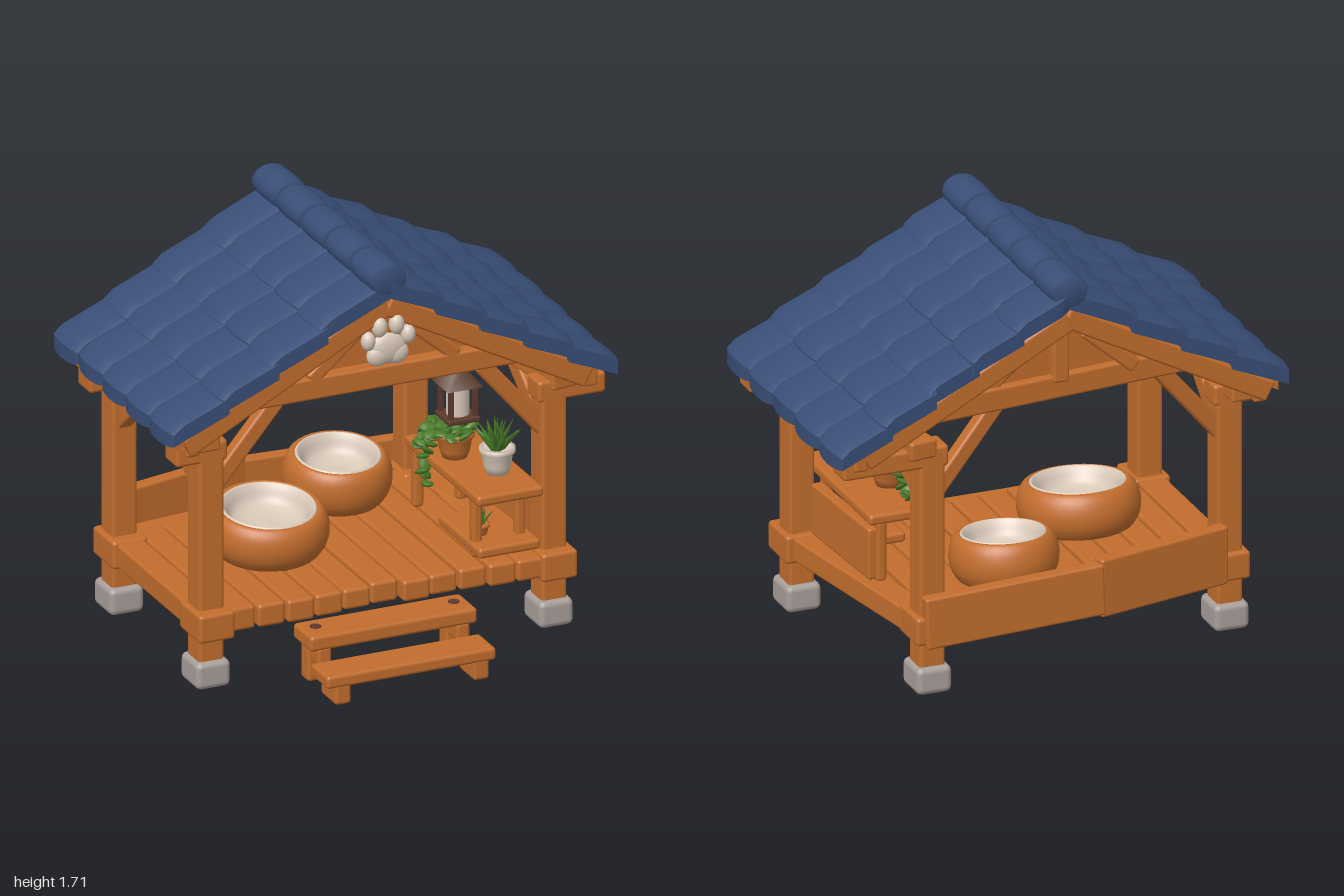
import * as THREE from 'three';
import { RoundedBoxGeometry } from 'three/addons/geometries/RoundedBoxGeometry.js';

const mat = (name, color, side = THREE.FrontSide) => {
  const m = new THREE.MeshStandardMaterial({ color, side });
  m.name = name;
  return m;
};

export function createModel() {
  const model = new THREE.Group();
  const wood = mat('wood', 0xc26d2d), blue = mat('roof blue', 0x394e77), stone = mat('stone', 0xa89e99);
  const cream = mat('cream', 0xd8c8b8), green = mat('leaf green', 0x4a7a28, THREE.DoubleSide);
  const dark = mat('dark brown', 0x5c3b2d);
  let seed = 7;
  const rnd = () => (seed = (seed * 16807) % 2147483647) / 2147483647;
  const V = (x, y, z) => new THREE.Vector3(x, y, z);
  const add = (name, geo, m, x = 0, y = 0, z = 0, parent = model) => {
    const mesh = new THREE.Mesh(geo, m);
    mesh.name = name;
    mesh.position.set(x, y, z);
    parent.add(mesh);
    return mesh;
  };
  // Soft-edged box given by its limits
  const box = (name, m, x0, x1, y0, y1, z0, z1, r = 0.015) => add(name,
    new RoundedBoxGeometry(x1 - x0, y1 - y0, z1 - z0, 2, Math.min(r, (y1 - y0) / 3)), m,
    (x0 + x1) / 2, (y0 + y1) / 2, (z0 + z1) / 2);
  // Soft-edged beam from a to b
  const beam = (name, a, b, w, h, m = wood) => {
    const mesh = add(name, new RoundedBoxGeometry(w, h, a.distanceTo(b), 2, 0.012), m);
    mesh.position.copy(a).lerp(b, 0.5);
    mesh.lookAt(b);
    return mesh;
  };

  // Posts on stones; the plan narrows and leans toward the back
  const posts = [[-0.785, 0.33], [0.715, 0.33], [0.555, -0.64], [-0.785, -0.5]];
  for (const [x, z] of posts) {
    box('footStone', stone, x - 0.075, x + 0.075, 0, 0.115, z - 0.085, z + 0.085, 0.025);
    box('post', wood, x - 0.055, x + 0.055, 0.1, 1.06, z - 0.06, z + 0.06);
    box('cornerBlock', wood, x - 0.078, x + 0.078, 0.215, 0.335, z - 0.085, z + 0.115);
    const s = Math.sign(x);
    const ends = [x - s * 0.07, s * 0.94].sort((a, b) => a - b);
    box('postHead', wood, ends[0], ends[1], 0.97, 1.06, z - 0.06, z + 0.06);
  }
  // Floor frame and planks
  beam('leftSill', V(-0.785, 0.275, 0.4), V(-0.785, 0.275, -0.56), 0.12, 0.1);
  beam('rightSill', V(0.725, 0.275, 0.4), V(0.55, 0.275, -0.7), 0.12, 0.1);
  beam('backSill', V(-0.785, 0.27, -0.52), V(0.555, 0.27, -0.655), 0.1, 0.09);
  const backZ = x => -0.58 - 0.1 * x;
  const count = 11, pitch = 1.38 / count;
  for (let i = 0; i < count; i++) {
    const x = -0.72 + (i + 0.5) * pitch;
    const back = x > 0.54 ? -0.35 : backZ(x);
    box('floorPlank', wood, x - pitch / 2 + 0.004, x + pitch / 2 - 0.004, 0.225 + 0.01 * rnd(), 0.318 + 0.008 * rnd(),
      back, 0.39 + 0.04 * rnd());
  }
  // Low boards at the back and the right side
  beam('backBoard', V(-0.75, 0.345, -0.585), V(-0.15, 0.345, -0.715), 0.06, 0.25);
  beam('backBoard', V(-0.17, 0.342, -0.715), V(0.6, 0.315, -0.72), 0.06, 0.22);
  beam('sideBoard', V(0.66, 0.44, 0.26), V(0.63, 0.44, -0.27), 0.05, 0.22);

  // Steps
  box('upperStep', wood, -0.45, 0.28, 0.17, 0.235, 0.43, 0.605);
  box('lowerStep', wood, -0.46, 0.28, 0.08, 0.135, 0.62, 0.785);
  for (const x of [-0.385, 0.22]) {
    box('upperStepLeg', wood, x - 0.035, x + 0.035, 0, 0.18, 0.435, 0.51);
    box('stepBracket', wood, x - 0.03, x + 0.03, 0.1, 0.18, 0.5, 0.6);
    box('lowerStepLeg', wood, x - 0.035, x + 0.035, 0, 0.09, 0.63, 0.775);
    add('stepPeg', new THREE.CylinderGeometry(0.024, 0.024, 0.008, 12), dark, x, 0.234, 0.505);
  }

  // Braces and top beams
  const up = (x, z, dx, dz) => beam('brace', V(x, 0.84, z), V(x + dx, 1.17, z + dz), 0.06, 0.07);
  const side = (x, z, dx, dz) => beam('sideBrace', V(x, 0.83, z), V(x + dx, 1.03, z + dz), 0.06, 0.085);
  up(-0.76, 0.33, 0.28, 0); up(0.69, 0.33, -0.28, 0);
  up(-0.76, -0.5, 0.28, -0.03); up(0.53, -0.64, -0.28, 0.03);
  side(-0.785, 0.29, 0, -0.29); side(0.715, 0.29, 0, -0.29);
  side(-0.785, -0.47, 0, 0.24); side(0.56, -0.61, 0.04, 0.24);
  beam('frontTieBeam', V(-0.66, 1.205, 0.34), V(0.62, 1.205, 0.34), 0.09, 0.095);
  beam('backTieBeam', V(-0.68, 1.2, -0.52), V(0.62, 1.2, -0.65), 0.09, 0.1);
  beam('leftPlate', V(-0.81, 1.06, 0.4), V(-0.81, 1.06, -0.66), 0.12, 0.08);
  beam('rightPlate', V(0.76, 1.06, 0.4), V(0.6, 1.06, -0.72), 0.12, 0.08);
  for (const s of [-1, 1])
    beam('eaveBeam', V(s * 0.87, 1.045, 0.4), V(s * 0.87, 1.045, s < 0 ? -0.67 : -0.72), 0.06, 0.07);

  // Roof: sheet pieces follow the slope; lift, bulge and scallop shape the tiles
  const RX = -0.025;
  const roofY = x => 1.62 - 0.53 * Math.abs(x - RX);
  const zBack = x => -0.7 - (x > 0 ? 0.02 + 0.06 * x : 0);
  const slab = (name, m, s, d0, d1, v0, v1, low, high, zf, inset, lift, bulge, scallop) => {
    const g = new THREE.BoxGeometry(1, 1, 1, 6, 1, 10), p = g.attributes.position;
    for (let i = 0; i < p.count; i++) {
      const u = p.getX(i) + 0.5, t = p.getY(i) + 0.5;
      const w = s > 0 ? p.getZ(i) + 0.5 : 0.5 - p.getZ(i);
      const arc = Math.pow(Math.sin(Math.PI * Math.min(1, w)), 0.6);
      const x = RX + s * (d0 + (d1 - d0) * u + scallop * arc * u);
      const v = v0 + (v1 - v0) * w, zb = zBack(x) + inset;
      const round = bulge && t && u > 0.99 ? 0.018 : 0;
      p.setXYZ(i, x, roofY(x) + (t ? high : low) + lift * u + t * bulge * arc - round, zb + (zf - zb) * v);
    }
    g.computeVertexNormals();
    return add(name, g, m);
  };
  for (const s of [-1, 1]) {
    slab('roofBoards', wood, s, 0, 0.92, 0, 1, -0.08, -0.035, 0.41, 0.03, 0, 0, 0);
    const rows = s < 0 ? 4 : 5, start = s < 0 ? 0.09 : 0.04, end = s < 0 ? 0.955 : 1.005, cols = 5;
    const step = (end - start) / rows;
    for (let r = 0; r < rows; r++) for (let c = 0; c < cols; c++) {
      const d0 = r ? start + r * step - 0.03 : 0, d1 = start + (r + 1) * step;
      const front = c === cols - 1 ? 0.012 * rnd() : 0, rear = c === 0 ? 0.02 * rnd() : 0;
      slab('roofTile', blue, s, d0, d1 - 0.012 * rnd(), c / cols - (c ? 0.006 : 0), (c + 1) / cols, -0.055, 0.012,
        0.44 + front, -rear, 0.022 + 0.008 * rnd(), 0.016, 0.02);
    }
    // Gable rafters at both ends
    for (const z of [0.385, s < 0 ? -0.66 : -0.7])
      beam('gableRafter', V(RX, 1.523, z), V(RX + s * 0.88, 1.523 - 0.53 * 0.88, z), 0.065, 0.09);
    // Gable struts
    for (const z of [0.36, -0.62])
      beam('gableStrut', V(RX + s * 0.1, 1.43, z), V(RX + s * 0.32, 1.24, z), 0.05, 0.06);
  }
  // Rounded ridge caps
  for (let i = 0; i < 5; i++) {
    const L = 1.17 / 5, profile = [[0, 0], [0.07, 0], [0.079, 0.02], [0.084, L / 2], [0.079, L - 0.02], [0.07, L], [0, L]];
    const cap = add('ridgeTile', new THREE.LatheGeometry(profile.map(q => new THREE.Vector2(...q)), 20), blue,
      RX - 0.005, 1.64, -0.725 + i * L);
    cap.rotation.x = Math.PI / 2;
    cap.scale.z = 0.83;
  }
  // Gable panels and king posts
  const tri = new THREE.Shape([[-0.64, 1.19], [0.59, 1.19], [RX, 1.54]].map(q => new THREE.Vector2(...q)));
  for (const [z, turn] of [[0.31, 0], [-0.6, 0.1]]) {
    add('gablePanel', new THREE.ExtrudeGeometry(tri, { depth: 0.02, bevelEnabled: false }), wood, 0, 0, z).rotation.y = turn;
    beam('kingPost', V(RX, 1.22, z > 0 ? 0.34 : -0.61), V(RX, 1.53, z > 0 ? 0.34 : -0.61), 0.07, 0.06);
  }

  // Paw ornament
  const ball = new THREE.SphereGeometry(1, 18, 12);
  const paw = [[-0.027, 1.34, 0.08, 0.065], [-0.067, 1.315, 0.05, 0.047], [0.015, 1.315, 0.05, 0.047],
    [-0.111, 1.383, 0.03, 0.04], [-0.061, 1.436, 0.032, 0.043], [0.013, 1.437, 0.032, 0.043], [0.064, 1.386, 0.03, 0.04]];
  for (const [x, y, rx, ry] of paw) add('pawOrnament', ball, cream, x, y, 0.41).scale.set(rx, ry, 0.03);

  // Two round beds with cushions, tipped slightly forward
  for (const [x, z, R] of [[-0.33, -0.09, 0.25], [0.145, -0.46, 0.222]]) {
    const lathe = (name, pts, m) => add(name, new THREE.LatheGeometry(
      new THREE.SplineCurve(pts.map(([r, y]) => new THREE.Vector2(r * R, y))).getPoints(30), 36), m, x, 0.325, z)
      .rotation.x = 0.11;
    lathe('bedBowl', [[0, 0], [0.72, 0.005], [0.93, 0.045], [1, 0.105], [0.96, 0.165], [0.86, 0.2], [0.77, 0.198], [0.7, 0.15]], wood);
    lathe('bedCushion', [[0.8, 0.194], [0.75, 0.207], [0.68, 0.188], [0.55, 0.14], [0.28, 0.118], [0, 0.12]], cream);
  }

  // Plant table with a low shelf
  box('tableTop', wood, 0.37, 0.66, 0.575, 0.62, -0.3, 0.41);
  box('lowShelf', wood, 0.38, 0.65, 0.345, 0.39, 0.0, 0.4);
  for (const x of [0.41, 0.6]) for (const z of [-0.26, 0.3])
    box('tableLeg', wood, x - 0.022, x + 0.022, 0.32, 0.58, z - 0.022, z + 0.022);

  // Pots
  const pot = (name, m, x, y, z, r, h) => add(name, new THREE.LatheGeometry(
    [[0, 0], [0.65, 0], [0.8, 0.3], [0.92, 0.8], [1.05, 0.82], [1.05, 1], [0.85, 1], [0.8, 0.88], [0, 0.88]]
      .map(q => new THREE.Vector2(q[0] * r, q[1] * h)), 20), m, x, y, z);
  pot('whitePot', cream, 0.55, 0.62, 0.2, 0.07, 0.11);
  pot('clayPot', wood, 0.465, 0.62, -0.02, 0.078, 0.11);
  pot('smallPot', wood, 0.45, 0.385, 0.25, 0.04, 0.05);
  // Spiky leaves fanning from a point
  const spikes = (x, y, z, size, n) => {
    for (let i = 0; i < n; i++) {
      const g = new THREE.ConeGeometry(0.13, 1, 5);
      g.translate(0, 0.5, 0);
      const a = i * 2.4, lean = 0.15 + 0.75 * i / n;
      const leaf = add('spikyLeaf', g, green, x, y, z);
      leaf.scale.set(size, size * (1 - 0.15 * rnd()), size * 0.7);
      leaf.quaternion.setFromUnitVectors(V(0, 1, 0), V(Math.sin(lean) * Math.cos(a), Math.cos(lean), Math.sin(lean) * Math.sin(a)));
    }
  };
  spikes(0.55, 0.71, 0.2, 0.155, 22);
  spikes(0.45, 0.425, 0.25, 0.09, 11);
  // Bushy plant and its trailing vines
  const leafAt = (x, y, z) => {
    const leaf = add('roundLeaf', new THREE.SphereGeometry(1, 7, 5), green, x, y, z);
    leaf.scale.set(0.037, 0.011, 0.027);
    leaf.rotation.set(rnd() * 1.6 - 0.8, rnd() * 6.3, rnd() * 1.6 - 0.8);
  };
  for (let i = 0; i < 34; i++) {
    const a = i * 2.4, r = 0.1 * Math.sqrt(i / 34);
    leafAt(0.455 + r * Math.cos(a), 0.745 - r * 0.3 + 0.02 * rnd(), -0.05 + r * 1.1 * Math.sin(a));
  }
  const vines = [[[0.44, 0.74, -0.04], [0.38, 0.71, -0.06], [0.355, 0.6, -0.08], [0.365, 0.5, -0.08]],
    [[0.47, 0.74, -0.05], [0.46, 0.73, -0.13], [0.45, 0.66, -0.17], [0.46, 0.64, -0.18]],
    [[0.45, 0.74, -0.04], [0.39, 0.7, -0.1], [0.37, 0.66, -0.13], [0.375, 0.64, -0.15]]];
  for (const pts of vines) {
    const curve = new THREE.CatmullRomCurve3(pts.map(q => V(...q)));
    add('vine', new THREE.TubeGeometry(curve, 12, 0.005, 5), green);
    for (let i = 0; i < 12; i++) {
      const q = curve.getPoint(i / 11);
      leafAt(q.x + 0.03 * (rnd() - 0.5), q.y, q.z + 0.05 * (rnd() - 0.5));
    }
  }

  // Hanging lantern
  const lantern = new THREE.Group();
  lantern.name = 'lantern';
  lantern.position.set(0.395, 0.865, 0.16);
  model.add(lantern);
  const part = (name, geo, m, x, y, z) => add(name, geo, m, x, y, z, lantern);
  part('lanternBase', new RoundedBoxGeometry(0.14, 0.022, 0.14, 2, 0.006), dark, 0, 0.011, 0);
  part('lanternGlass', new THREE.CylinderGeometry(0.047, 0.047, 0.13, 16), cream, 0, 0.085, 0);
  for (const x of [-0.052, 0.052]) for (const z of [-0.052, 0.052])
    part('lanternBar', new THREE.BoxGeometry(0.018, 0.14, 0.018), dark, x, 0.085, z);
  part('lanternRoof', new THREE.CylinderGeometry(0.035, 0.11, 0.07, 4), dark, 0, 0.185, 0).rotation.y = Math.PI / 4;
  part('lanternCap', new THREE.CylinderGeometry(0.022, 0.035, 0.025, 10), dark, 0, 0.23, 0);
  part('lanternRing', new THREE.TorusGeometry(0.022, 0.007, 6, 16), dark, 0, 0.262, 0);
  part('lanternRod', new THREE.CylinderGeometry(0.006, 0.006, 0.25, 6), dark, 0, 0.4, 0);
  return model;
}
